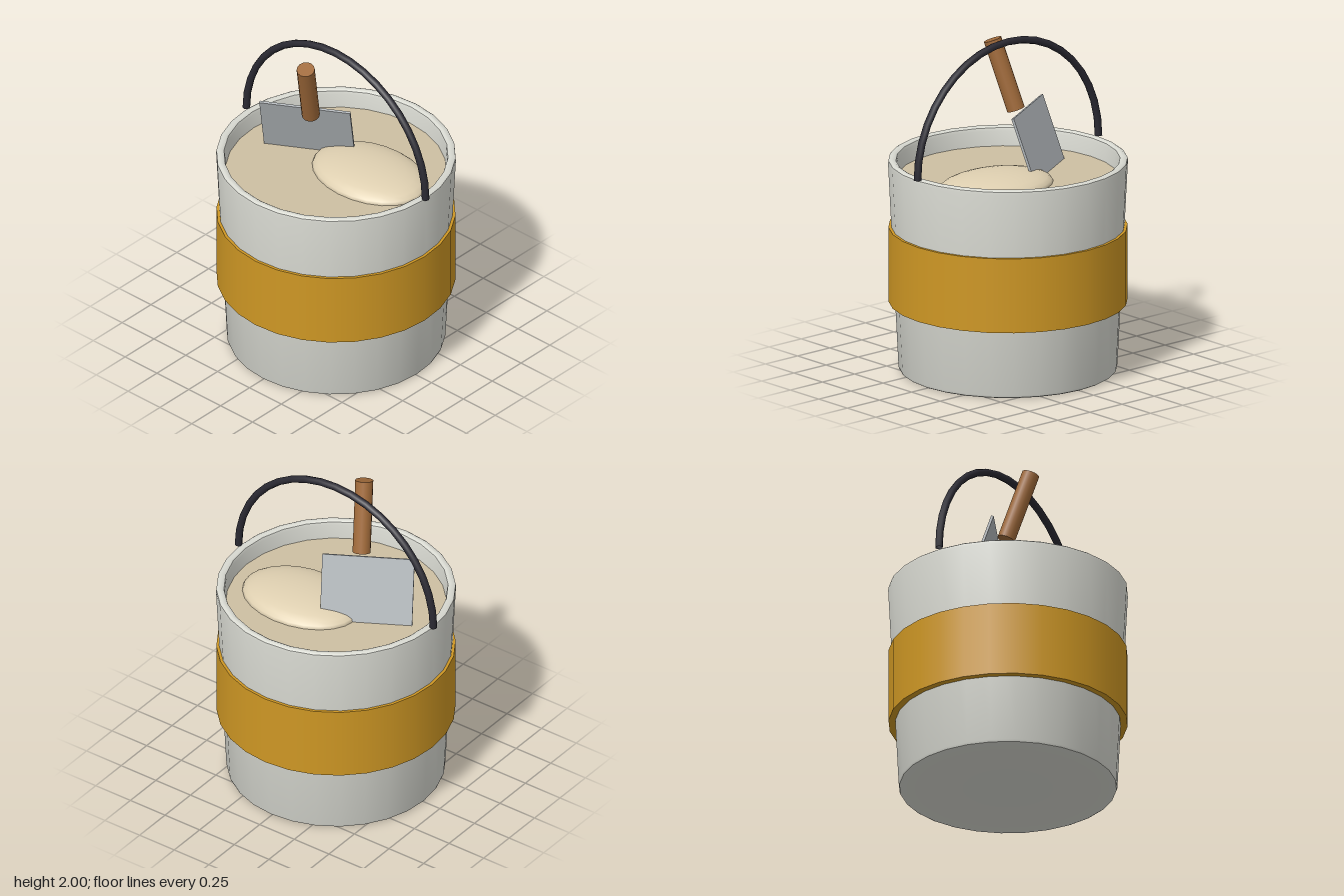
import * as THREE from 'three';
import { toCreasedNormals } from 'three/addons/utils/BufferGeometryUtils.js';

const SIDES = 28;

function flat(name, color, side = THREE.FrontSide) {
  const m = new THREE.MeshStandardMaterial({ color, side });
  m.name = name;
  return m;
}

export function createModel() {
  const model = new THREE.Group();
  model.name = 'bucketWithTrowel';

  const plastic = flat('palePlastic', 0xd9dad2);
  const ochre = flat('ochreBand', 0xce9724);
  const mortar = flat('mortar', 0xcdbfa2);
  const lump = flat('lightMortar', 0xdfd0b1);
  const steel = flat('steel', 0xb2b7bb);
  const wood = flat('wood', 0xa06a3a);
  const black = flat('blackHandle', 0x2b2a33, THREE.DoubleSide);

  const add = (name, geometry, material, x = 0, y = 0, z = 0) => {
    const mesh = new THREE.Mesh(geometry, material);
    mesh.name = name;
    mesh.position.set(x, y, z);
    model.add(mesh);
    return mesh;
  };

  // Tapered bucket with a rounded rim and an inner wall
  const profile = [
    [0, 0], [0.622, 0], [0.633, 0.006], [0.638, 0.02],
    [0.699, 1.25], [0.697, 1.268], [0.685, 1.276],
    [0.665, 1.276], [0.653, 1.268], [0.648, 1.25], [0.64, 1.1],
  ].map(([r, y]) => new THREE.Vector2(r, y));
  add('bucket', toCreasedNormals(new THREE.LatheGeometry(profile, SIDES), 0.7), plastic);

  // Straight coloured band around the middle
  add('band', new THREE.CylinderGeometry(0.697, 0.697, 0.45, SIDES), ochre, 0, 0.64, 0);

  // Mortar filling and the mound lying in it
  add('filling', new THREE.CylinderGeometry(0.645, 0.642, 0.06, SIDES), mortar, 0, 1.13, 0);
  const mound = add('mound', new THREE.SphereGeometry(1, 24, 14), lump, 0.18, 1.16, -0.093);
  mound.scale.set(0.38, 0.085, 0.273);

  // Carrying handle arching over the bucket
  add('carryingHandle', new THREE.TorusGeometry(0.704, 0.022, 8, 20, Math.PI), black, 0, 1.275, 0);

  // Trowel: blade and grip share one lean
  const lean = new THREE.Euler(0.335, Math.PI / 6, 0, 'YXZ');
  add('trowelBlade', new THREE.BoxGeometry(0.54, 0.5, 0.015), steel, -0.237, 1.299, -0.018)
    .rotation.copy(lean);
  add('trowelGrip', new THREE.CylinderGeometry(0.053, 0.053, 0.436, 14), wood, -0.093, 1.733, 0.138)
    .rotation.copy(lean);

  return model;
}
